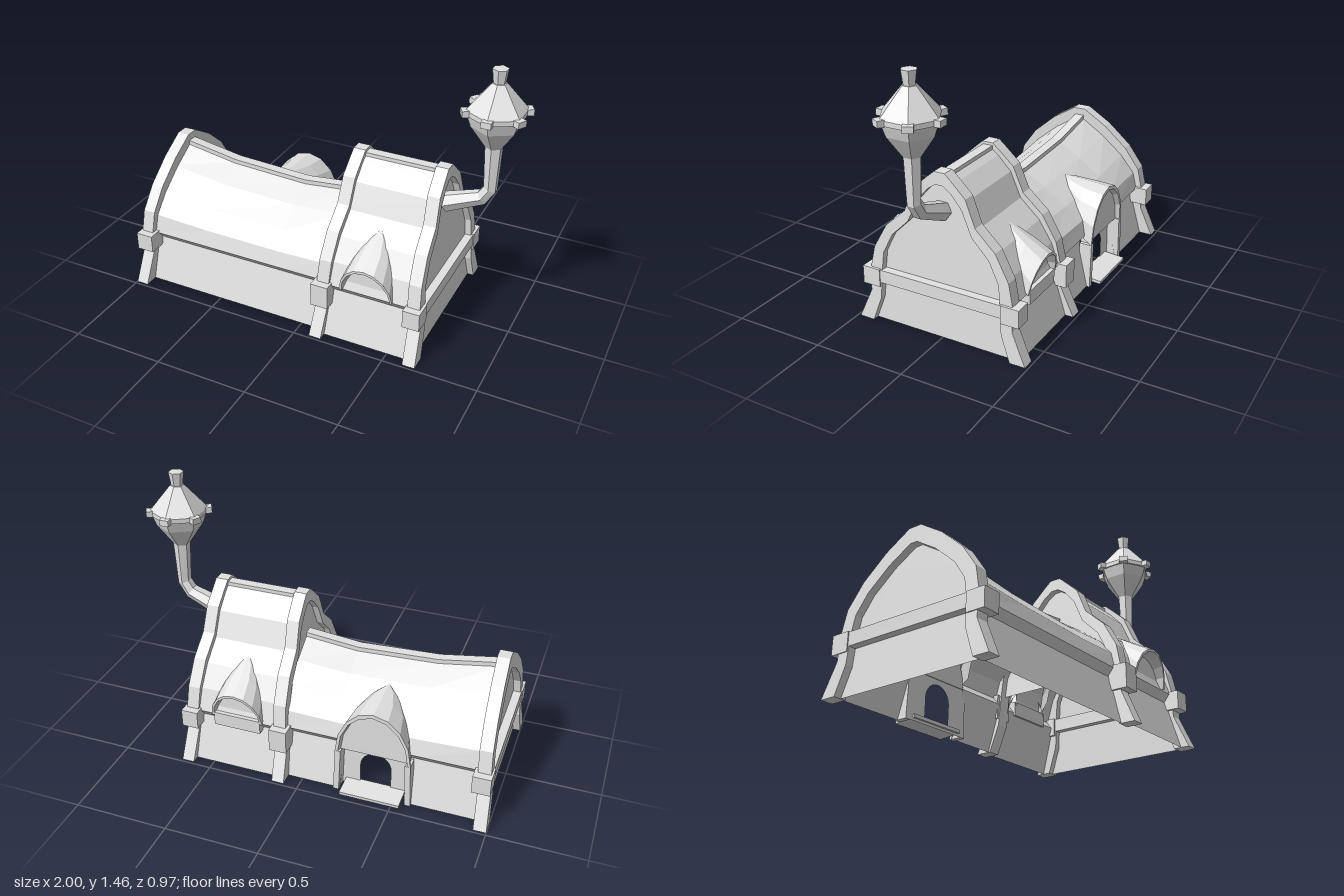
import * as THREE from 'three';

const stone = new THREE.MeshStandardMaterial({ color: 0xe2e2e2, flatShading: true, side: THREE.DoubleSide });
stone.name = 'pale grey';

// Half profiles as [z, y], from the ground up to the ridge
const tallOuter = [[0.485, 0], [0.41, 0.17], [0.41, 0.3], [0.385, 0.42], [0.31, 0.555], [0.2, 0.655], [0.145, 0.79], [0.07, 0.86], [0.03, 0.895]];
const tallInner = [[0.4, 0], [0.35, 0.14], [0.34, 0.3], [0.33, 0.4], [0.275, 0.51], [0.18, 0.605], [0.125, 0.73], [0.065, 0.8], [0.02, 0.83]];
const lowOuter = [[0.485, 0], [0.41, 0.17], [0.41, 0.3], [0.385, 0.42], [0.3, 0.54], [0.17, 0.655], [0.035, 0.74]];
const lowInner = [[0.4, 0], [0.35, 0.14], [0.34, 0.3], [0.325, 0.38], [0.26, 0.475], [0.14, 0.58], [0.02, 0.655]];
const tallRoof = [[0.4, 0.29], [0.36, 0.41], [0.29, 0.525], [0.185, 0.625], [0.13, 0.76], [0.06, 0.835], [0.02, 0.865]];
const lowRoof = [[0.378, 0.29], [0.355, 0.39], [0.275, 0.49], [0.15, 0.595], [0.02, 0.68]];

const mirrored = (half) => [...half, ...half.map(([z, y]) => [-z, y]).reverse()];
const toShape = (pts) => new THREE.Shape(pts.map(([a, b]) => new THREE.Vector2(a, b)));

function add(parent, name, geometry) {
  const mesh = new THREE.Mesh(geometry, stone);
  mesh.name = name;
  parent.add(mesh);
  return mesh;
}

// Skin through equal-length rings of [x, y, z] points
function loft(rings, closed = false) {
  const pos = [];
  for (let i = 0; i < rings.length - 1; i++) {
    const a = rings[i], b = rings[i + 1], n = a.length;
    for (let j = 0; j < (closed ? n : n - 1); j++) {
      const k = (j + 1) % n;
      pos.push(...a[j], ...b[j], ...b[k], ...a[j], ...b[k], ...a[k]);
    }
  }
  const g = new THREE.BufferGeometry();
  g.setAttribute('position', new THREE.Float32BufferAttribute(pos, 3));
  g.computeVertexNormals();
  return g;
}

// Turns a z-y outline to face along x, leaning by height
function place(geometry, x, lean) {
  geometry.rotateY(Math.PI / 2);
  const p = geometry.attributes.position;
  for (let i = 0; i < p.count; i++) p.setX(i, p.getX(i) + x + lean * p.getY(i));
  geometry.computeVertexNormals();
  return geometry;
}

function archFrame(parent, name, outer, inner, x, lean) {
  const shape = toShape([...mirrored(outer), ...mirrored(inner).reverse()]);
  add(parent, name, place(new THREE.ExtrudeGeometry(shape, { depth: 0.067, bevelEnabled: false }), x, lean));
}

function box(parent, name, x0, x1, y0, y1, z0, z1) {
  const mesh = add(parent, name, new THREE.BoxGeometry(x1 - x0, y1 - y0, z1 - z0));
  mesh.position.set((x0 + x1) / 2, (y0 + y1) / 2, (z0 + z1) / 2);
  return mesh;
}

// Arched opening with a rounded hood tapering back into the roof; faces +z
function dormer(name, half, y0, top, zLow, zTop, apex) {
  const g = new THREE.Group();
  g.name = name;
  const arch = (s, back) => Array.from({ length: 9 }, (_, i) => {
    const a = (Math.PI * i) / 8, h = Math.sin(a);
    return [Math.cos(a) * half * s, y0 + (top - y0) * h * s, zLow + (zTop - zLow) * h - back];
  });
  const outer = arch(1, 0);
  const hoodRing = ([t, s]) => outer.map(([x, y, z]) => {
    const ridgeY = top + (apex[0] - top) * t;
    return [x * s, ridgeY - (top - y) * s, z + (apex[1] - z) * t];
  });
  add(g, name + 'Hood', loft([[0, 1], [0.45, 0.85], [0.82, 0.48], [1, 0]].map(hoodRing)));
  add(g, name + 'Trim', loft([arch(0.83, 0.06), arch(0.92, 0), outer]));
  return g;
}

function createModel() {
  const model = new THREE.Group();
  model.name = 'longhouse';

  // Leaning arch frames
  archFrame(model, 'farFrame', lowOuter, lowInner, -1, 0.05);
  archFrame(model, 'middleFrame', tallOuter, tallInner, 0.08, 0.04);
  archFrame(model, 'endFrame', tallOuter, tallInner, 0.603, -0.045);

  // Gable walls
  const gable = (name, half, x, lean) => add(model, name, place(new THREE.ShapeGeometry(toShape(mirrored(half))), x, lean));
  gable('farGable', lowInner, -0.96, 0.05);
  gable('middleGable', tallInner.slice(2), 0.115, 0.04);
  gable('endGable', tallInner, 0.635, -0.045);

  // Collars and gable beams
  for (const s of [-1, 1]) {
    for (const [x0, x1, y0] of [[-0.995, -0.9, 0.205], [0.075, 0.17, 0.175], [0.58, 0.67, 0.205]]) {
      const z = [0.35 * s, 0.45 * s].sort((a, b) => a - b);
      box(model, 'collar', x0, x1, y0, 0.303, z[0], z[1]);
    }
  }
  box(model, 'farBeam', -0.99, -0.92, 0.23, 0.3, -0.44, 0.44);
  box(model, 'endBeam', 0.59, 0.665, 0.23, 0.3, -0.44, 0.44);

  // Sagging main roof and its ridge: [x, height]
  const sag = [[-0.93, 0.685], [-0.6, 0.63], [-0.17, 0.61], [0.12, 0.64]];
  add(model, 'mainRoof', loft(sag.map(([x, h]) =>
    mirrored(lowRoof).map(([z, y]) => [x, 0.29 + (y - 0.29) * (h - 0.29) / 0.39, z]))));
  const ridge = (x, h) => [[x, h - 0.02, 0.027], [x, h + 0.02, 0.027], [x, h + 0.02, -0.027], [x, h - 0.02, -0.027]];
  add(model, 'mainRidge', loft(sag.map(([x, h]) => ridge(x, h)), true));

  // Tall roof and its ridge
  add(model, 'tallRoof', loft([0.13, 0.61].map((x) => mirrored(tallRoof).map(([z, y]) => [x, y, z]))));
  add(model, 'tallRidge', loft([0.16, 0.59].map((x) => ridge(x, 0.86)), true));

  // Flared side walls with the eave undersides, leaving a gap for the door
  const wall = (name, x0, x1, s, foot, top, eave) => add(model, name, loft([x0, x1].map((x) =>
    [[x, 0, foot * s], [x, 0.25, top * s], [x, 0.29, eave * s]])));
  wall('mainFrontWall', -0.95, 0.12, 1, 0.41, 0.345, 0.378);
  wall('mainBackWall', -0.95, -0.56, -1, 0.41, 0.345, 0.378);
  wall('mainBackWall', -0.21, 0.12, -1, 0.41, 0.345, 0.378);
  for (const s of [-1, 1]) wall('tallWall', 0.12, 0.63, s, 0.44, 0.368, 0.4);

  // Window dormers on both sides of the tall roof
  for (const s of [-1, 1]) {
    const d = dormer('window', 0.145, 0.29, 0.462, 0.412, 0.447, [0.585, 0.225]);
    const pane = toShape(Array.from({ length: 9 }, (_, i) => {
      const a = (Math.PI * i) / 8;
      return [0.122 * Math.cos(a), 0.29 + 0.147 * Math.sin(a)];
    }));
    add(d, 'windowPanel', new THREE.ShapeGeometry(pane)).position.z = 0.385;
    d.position.x = 0.365;
    if (s < 0) d.rotation.y = Math.PI;
    model.add(d);
  }
  box(model, 'backWindowSill', 0.235, 0.495, 0.235, 0.31, -0.415, -0.36);

  // Back door: hood, flared posts, upper panel over a recessed doorway, step
  const door = dormer('door', 0.2, 0.25, 0.522, 0.425, 0.43, [0.54, 0.165]);
  for (const s of [-1, 1]) {
    const post = toShape([[0.208 * s, 0], [0.178 * s, 0], [0.17 * s, 0.25], [0.2 * s, 0.25]]);
    add(door, 'doorPost', new THREE.ExtrudeGeometry(post, { depth: 0.07, bevelEnabled: false })).position.z = 0.356;
  }
  const upper = new THREE.Shape().moveTo(0.18, 0.25);
  upper.absellipse(0, 0.25, 0.18, 0.235, 0, Math.PI, false);
  add(door, 'upperPanel', new THREE.ExtrudeGeometry(upper, { depth: 0.05, bevelEnabled: false, curveSegments: 6 })).position.z = 0.35;
  const panel = toShape([[-0.185, 0], [0.185, 0], [0.185, 0.26], [-0.185, 0.26]]);
  const hole = new THREE.Path().moveTo(-0.082, 0.03).lineTo(-0.082, 0.14);
  hole.absarc(0, 0.14, 0.082, Math.PI, 0, true).lineTo(0.082, 0.03);
  panel.holes.push(hole);
  add(door, 'doorPanel', new THREE.ShapeGeometry(panel, 6)).position.z = 0.355;
  box(door, 'doorStep', -0.16, 0.16, 0.01, 0.028, 0.345, 0.47).rotation.x = 0.08;
  door.position.x = -0.385;
  door.rotation.y = Math.PI;
  model.add(door);

  // Bent six-sided stovepipe: [x, y, radius, tilt of the cut]
  const hex = (x, y, r, tilt) => Array.from({ length: 6 }, (_, i) => {
    const a = (Math.PI * i) / 3, c = r * Math.sin(a);
    return [x + c * Math.cos(tilt), y - c * Math.sin(tilt), r * Math.cos(a)];
  });
  add(model, 'stovepipe', loft([
    hex(0.61, 0.69, 0.052, 1.2), hex(0.8, 0.767, 0.04, 1.0), hex(0.837, 0.825, 0.037, 0.35), hex(0.837, 1.06, 0.045, 0),
  ], true));

  // Chimney head: bowl, brim, cone and cap
  const head = new THREE.Group();
  head.name = 'chimneyHead';
  head.position.x = 0.837;
  const outline = [[0.045, 1.055], [0.122, 1.165], [0.143, 1.225], [0.152, 1.225], [0.152, 1.25], [0.036, 1.385], [0.03, 1.385], [0.04, 1.457], [0, 1.457]];
  add(head, 'chimneyBowlAndCone', new THREE.LatheGeometry(outline.map(([r, y]) => new THREE.Vector2(r, y)), 6));
  for (let i = 0; i < 6; i++) {
    const a = (Math.PI * i) / 3;
    const tab = add(head, 'brimTab', new THREE.BoxGeometry(0.05, 0.032, 0.045));
    tab.position.set(Math.sin(a) * 0.148, 1.239, Math.cos(a) * 0.148);
    tab.rotation.y = a;
  }
  model.add(head);

  return model;
}

export { createModel };
